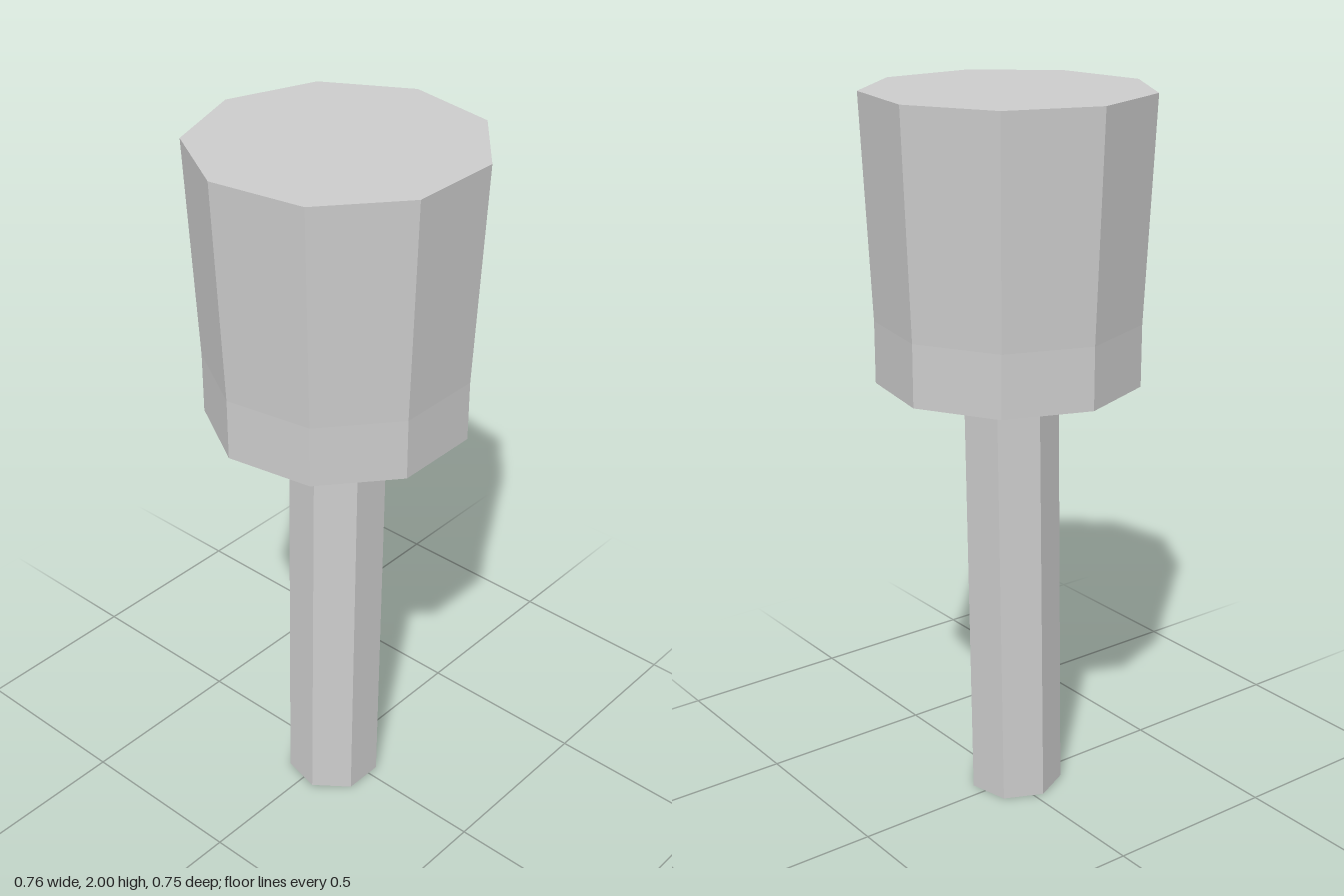
import * as THREE from 'three';

export function createModel() {
  const group = new THREE.Group();
  const grey = new THREE.MeshStandardMaterial({ color: 0xcccccc, flatShading: true });
  grey.name = 'plain grey';

  // Prism with a corner pointing to the back
  const prism = (name, rTop, rBottom, y0, y1, sides, open) => {
    const geo = new THREE.CylinderGeometry(rTop, rBottom, y1 - y0, sides, 1, open, Math.PI);
    geo.translate(0, (y0 + y1) / 2, 0);
    const mesh = new THREE.Mesh(geo, grey);
    mesh.name = name;
    return mesh;
  };

  // Nine-sided head: straight collar with a flaring block above
  const head = new THREE.Group();
  head.name = 'head';
  head.position.z = 0.013;
  head.add(
    prism('headCollar', 0.358, 0.358, 1.23, 1.4, 9, false),
    prism('headBlock', 0.385, 0.358, 1.4, 2, 9, false)
  );

  // Seven-sided handle, leaning slightly, its top buried in the head
  const handle = prism('handle', 0.133, 0.133, 0, 1.26, 7, false);
  handle.position.set(-0.024, 0.002, 0.015);
  handle.rotation.z = -0.017;

  group.add(head, handle);
  return group;
}
